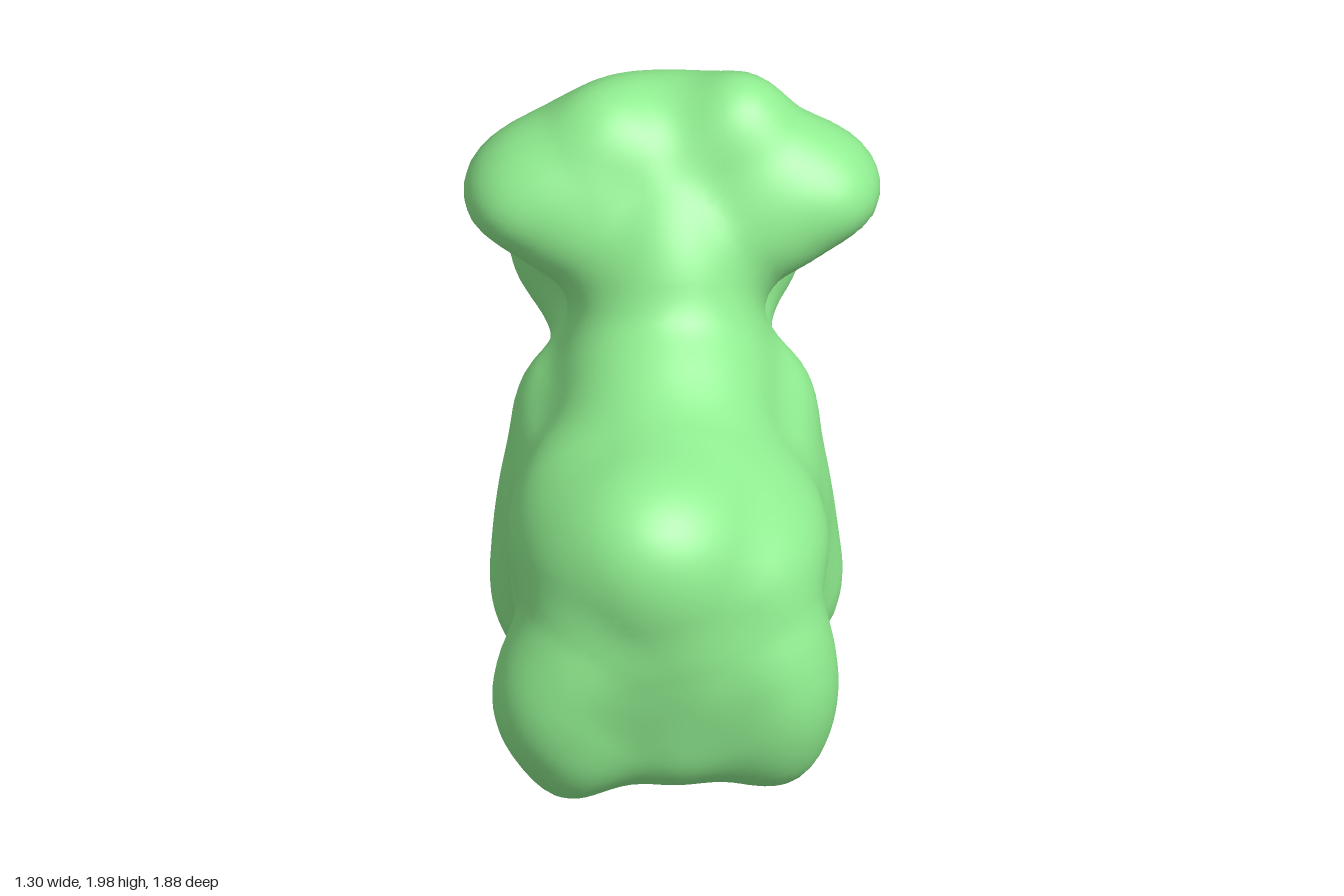
import * as THREE from 'three';

// Soft clay animal: rounded masses per part [x, y, z, rx, ry, rz], melted into one skin.
const PARTS = {
  torso: [
    [-0.04, 0.79, 0.30, 0.43, 0.44, 0.45],   // barrel
    [-0.07, 0.78, 0.55, 0.41, 0.40, 0.37],   // rump
    [-0.11, 0.95, 0.68, 0.27, 0.24, 0.24],   // raised rear of the back
    [-0.04, 0.75, -0.05, 0.41, 0.50, 0.39],  // chest
    [-0.03, 0.50, 0.25, 0.40, 0.23, 0.35],   // belly
    [0.23, 0.78, 0.42, 0.23, 0.23, 0.38],    // flanks
    [-0.29, 0.83, 0.42, 0.23, 0.26, 0.38],
    [0.21, 0.50, 0.25, 0.23, 0.23, 0.35],    // lower flanks
    [-0.28, 0.50, 0.25, 0.23, 0.23, 0.35],
    [0.23, 0.68, -0.04, 0.23, 0.33, 0.30],   // shoulders
    [-0.29, 0.68, -0.04, 0.23, 0.33, 0.30],
    [0.23, 0.92, -0.17, 0.20, 0.21, 0.21],   // shoulder tops
    [-0.28, 0.92, -0.17, 0.20, 0.21, 0.21],
  ],
  hindLegs: [
    [-0.34, 0.32, 0.62, 0.21, 0.31, 0.26],
    [0.28, 0.33, 0.60, 0.20, 0.30, 0.25],
    [-0.43, 0.42, 0.70, 0.15, 0.20, 0.17],   // wide right hip
    [-0.30, 0.57, 0.70, 0.19, 0.24, 0.19],
    [0.27, 0.50, 0.66, 0.18, 0.25, 0.20],
    [-0.02, 0.31, 0.66, 0.32, 0.24, 0.20],   // web joining the legs
    [-0.02, 0.56, 0.68, 0.30, 0.24, 0.20],
  ],
  frontLegs: [
    [-0.36, 0.27, -0.13, 0.21, 0.27, 0.25],
    [0.30, 0.28, -0.14, 0.22, 0.26, 0.25],
    [-0.34, 0.50, -0.14, 0.20, 0.32, 0.25],  // upper legs
    [0.28, 0.50, -0.16, 0.20, 0.32, 0.25],
    [-0.03, 0.37, -0.13, 0.32, 0.23, 0.22],  // web joining the legs
  ],
  neck: [
    [-0.02, 1.25, -0.22, 0.30, 0.42, 0.29],
    [-0.03, 1.10, 0.02, 0.30, 0.25, 0.30],   // slope onto the back
    [-0.03, 1.00, -0.42, 0.32, 0.25, 0.24],  // throat
  ],
  head: [
    [-0.02, 1.52, -0.38, 0.37, 0.35, 0.26],
    [-0.04, 1.53, -0.56, 0.33, 0.26, 0.20],  // brow
    [-0.20, 1.76, -0.39, 0.18, 0.18, 0.17],  // two crown bumps
    [0.20, 1.79, -0.39, 0.18, 0.19, 0.17],
    [-0.04, 1.39, -0.58, 0.41, 0.27, 0.25],  // broad face plate
    [-0.02, 1.73, -0.50, 0.26, 0.17, 0.15],  // slope from crown to brow
    [-0.28, 1.54, -0.50, 0.24, 0.22, 0.20],  // right temple
    [0.20, 1.60, -0.60, 0.18, 0.17, 0.14],   // left brow knob
  ],
  snout: [
    [-0.27, 1.20, -0.67, 0.23, 0.24, 0.22],
    [0.19, 1.20, -0.67, 0.23, 0.24, 0.22],
    [-0.04, 1.13, -0.69, 0.29, 0.20, 0.24],
    [-0.04, 1.08, -0.59, 0.32, 0.23, 0.26],  // jaw
  ],
  ears: [1, -1].flatMap((s) => [
    [s * 0.34, 1.65, -0.37, 0.21, 0.17, 0.19],
    [s * 0.48, 1.59, -0.36, 0.17, 0.15, 0.20],
    [s * 0.28, 1.52, -0.32, 0.20, 0.18, 0.20],  // underside into the neck
  ]),
};
const BLOBS = Object.entries(PARTS).flatMap(([name, list]) => list.map((b) => ({ name, b })));
const BLEND = 0.13;

// Approximate distance to an ellipsoid
function ellipsoid([cx, cy, cz, rx, ry, rz], x, y, z) {
  const u = (x - cx) / rx, v = (y - cy) / ry, w = (z - cz) / rz;
  const k0 = Math.sqrt(u * u + v * v + w * w);
  const k1 = Math.sqrt((u / rx) ** 2 + (v / ry) ** 2 + (w / rz) ** 2);
  return k1 < 1e-6 ? -Math.min(rx, ry, rz) : (k0 * (k0 - 1)) / k1;
}

// Smooth union of all masses
function field(x, y, z) {
  let d = 10;
  for (const { b } of BLOBS) {
    const e = ellipsoid(b, x, y, z);
    const h = Math.max(BLEND - Math.abs(d - e), 0) / BLEND;
    d = Math.min(d, e) - h * h * BLEND * 0.25;
  }
  return d;
}

function nearestPart(x, y, z) {
  let best = Infinity, part = '';
  for (const { name, b } of BLOBS) {
    const e = ellipsoid(b, x, y, z);
    if (e < best) { best = e; part = name; }
  }
  return part;
}

// Wraps the field in a quad skin: one vertex per crossed cell, one quad per crossed edge
function buildSkin() {
  const step = 0.032, origin = [-0.85, -0.2, -1.15];
  const n = [1.7, 2.4, 2.3].map((s) => Math.ceil(s / step));
  const stride = [1, n[0], n[0] * n[1]];
  const at = (i, axis) => origin[axis] + i * step;
  const values = new Float32Array(n[0] * n[1] * n[2]);
  const cellVertex = new Int32Array(values.length).fill(-1);
  const positions = [], normals = [], labels = [], faces = {};

  const eachCell = (lo, fn) => {
    for (let k = lo; k < n[2] - 1; k++)
      for (let j = lo; j < n[1] - 1; j++)
        for (let i = lo; i < n[0] - 1; i++) fn([i, j, k], i + j * stride[1] + k * stride[2]);
  };
  for (let k = 0, id = 0; k < n[2]; k++)
    for (let j = 0; j < n[1]; j++)
      for (let i = 0; i < n[0]; i++) values[id++] = field(at(i, 0), at(j, 1), at(k, 2));

  // Vertices at the mean of each cell's edge crossings
  eachCell(0, (c, id) => {
    const sum = [0, 0, 0];
    let count = 0;
    for (let corner = 0; corner < 8; corner++) {
      const bits = [corner & 1, (corner >> 1) & 1, corner >> 2];
      const from = id + bits[0] + bits[1] * stride[1] + bits[2] * stride[2];
      for (let a = 0; a < 3; a++) {
        if (bits[a]) continue;
        const v0 = values[from], v1 = values[from + stride[a]];
        if (v0 < 0 === v1 < 0) continue;
        for (let m = 0; m < 3; m++) sum[m] += bits[m] + (m === a ? v0 / (v0 - v1) : 0);
        count++;
      }
    }
    if (!count) return;
    const [x, y, z] = sum.map((s, m) => at(c[m] + s / count, m));
    const e = 0.012;
    const normal = new THREE.Vector3(
      field(x + e, y, z) - field(x - e, y, z),
      field(x, y + e, z) - field(x, y - e, z),
      field(x, y, z + e) - field(x, y, z - e)).normalize();
    cellVertex[id] = labels.length;
    labels.push(nearestPart(x, y, z));
    positions.push(x, y, z);
    normals.push(normal.x, normal.y, normal.z);
  });

  // Quads, sorted by the part they belong to
  eachCell(1, (c, id) => {
    for (let a = 0; a < 3; a++) {
      const inside = values[id] < 0;
      if (inside === values[id + stride[a]] < 0) continue;
      const b = stride[(a + 1) % 3], d = stride[(a + 2) % 3];
      const q = [id, id - b, id - b - d, id - d].map((cell) => cellVertex[cell]);
      if (!inside) q.reverse();
      (faces[labels[q[0]]] ??= []).push(q[0], q[1], q[2], q[0], q[2], q[3]);
    }
  });
  return { positions, normals, faces };
}

export function createModel() {
  const model = new THREE.Group();
  model.name = 'clayAnimal';
  const material = new THREE.MeshStandardMaterial({ color: 0x90ee90 });
  const { positions, normals, faces } = buildSkin();

  // Centre the skin and stand it on the ground
  const skin = new THREE.BufferGeometry();
  skin.setAttribute('position', new THREE.Float32BufferAttribute(positions, 3));
  skin.setAttribute('normal', new THREE.Float32BufferAttribute(normals, 3));
  skin.computeBoundingBox();
  const { min, max } = skin.boundingBox;
  skin.translate(-(min.x + max.x) / 2, -min.y, -(min.z + max.z) / 2);

  for (const [name, index] of Object.entries(faces)) {
    const geometry = new THREE.BufferGeometry();
    geometry.setAttribute('position', skin.attributes.position);
    geometry.setAttribute('normal', skin.attributes.normal);
    geometry.setIndex(index);
    const mesh = new THREE.Mesh(geometry, material);
    mesh.name = name;
    model.add(mesh);
  }
  return model;
}
